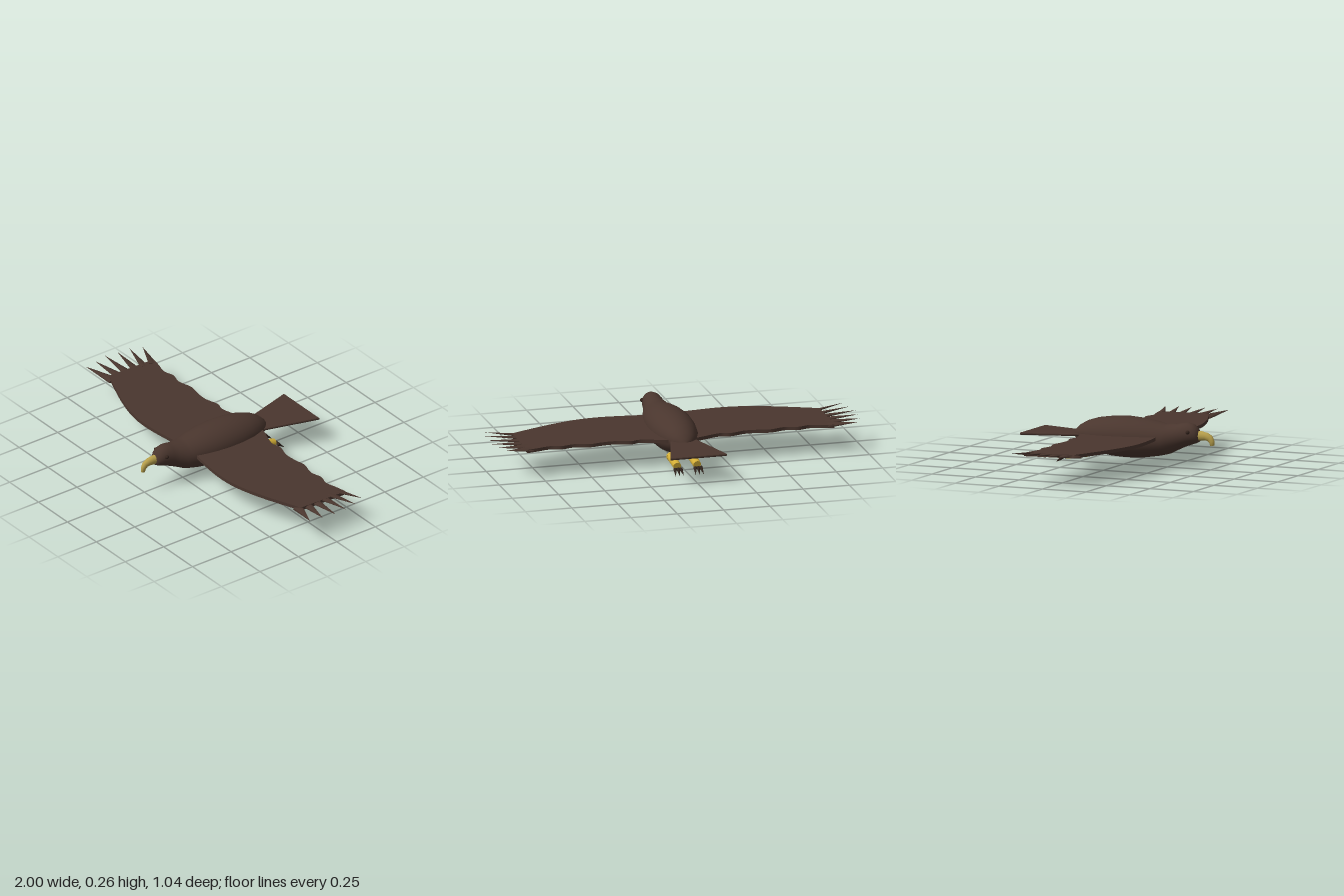
import * as THREE from 'three';

const mat = (name, color, extra = {}) => {
  const m = new THREE.MeshStandardMaterial({ color, ...extra });
  m.name = name;
  return m;
};

// Skin rings [z, y, halfWidth, halfHeight, tilt], listed from front to back
function loft(rings, n = 32) {
  const pos = [], idx = [];
  rings.forEach(([z, y, rx, ry, t = 0], i) => {
    for (let j = 0; j < n; j++) {
      const a = (j / n) * Math.PI * 2, up = Math.sin(a) * ry;
      pos.push(Math.cos(a) * rx, y + up * Math.cos(t), z + up * Math.sin(t));
      if (i === rings.length - 1) continue;
      const p = i * n + j, q = i * n + ((j + 1) % n);
      idx.push(p, p + n, q, q, p + n, q + n);
    }
  });
  const g = new THREE.BufferGeometry();
  g.setAttribute('position', new THREE.Float32BufferAttribute(pos, 3));
  g.setIndex(idx);
  g.computeVertexNormals();
  return g;
}

// Flat plate from [x, z] outlines, lying level with its underside at y = 0
function plate(shape, depth, bevel = 0) {
  return new THREE.ExtrudeGeometry(shape, {
    depth, curveSegments: 10, bevelEnabled: bevel > 0,
    bevelSize: bevel, bevelThickness: bevel, bevelSegments: 3,
  }).rotateX(-Math.PI / 2);
}

export function createModel() {
  const root = new THREE.Group();
  const brown = mat('brown plumage', 0x4a362e);
  const horn = mat('beak horn', 0xb8a04c);
  const yellow = mat('leg yellow', 0xd4af37);
  const dark = mat('dark claw', 0x33261f);
  const eyeMat = mat('eye brown', 0x35251e);

  const add = (name, geo, material, parent = root) => {
    const m = new THREE.Mesh(geo, material);
    m.name = name;
    parent.add(m);
    return m;
  };

  // Cone or tapered rod running between two points
  const rod = (name, from, to, r0, r1, sides, material, parent, flat = 1) => {
    const a = new THREE.Vector3(...from), b = new THREE.Vector3(...to);
    const d = b.clone().sub(a);
    const m = add(name, new THREE.CylinderGeometry(r1, r0, d.length(), sides), material, parent);
    m.position.copy(a).add(b).multiplyScalar(0.5);
    m.quaternion.setFromUnitVectors(new THREE.Vector3(0, 1, 0), d.normalize());
    m.scale.x = flat;
    return m;
  };

  // Body, neck and head: [z, bottom, top, halfWidth]
  const profile = [
    [0.437, 0.172, 0.172, 0], [0.434, 0.145, 0.2, 0.026], [0.42, 0.137, 0.222, 0.038],
    [0.4, 0.13, 0.236, 0.047], [0.37, 0.12, 0.242, 0.053], [0.34, 0.107, 0.238, 0.057],
    [0.31, 0.093, 0.231, 0.065], [0.27, 0.073, 0.23, 0.08], [0.245, 0.066, 0.228, 0.088],
    [0.2, 0.056, 0.238, 0.1], [0.12, 0.044, 0.25, 0.115], [0.03, 0.04, 0.256, 0.122],
    [-0.06, 0.044, 0.252, 0.118], [-0.14, 0.057, 0.24, 0.105], [-0.2, 0.078, 0.221, 0.083],
    [-0.24, 0.102, 0.199, 0.062], [-0.268, 0.128, 0.172, 0.034], [-0.28, 0.15, 0.15, 0],
  ];
  add('body', loft(profile.map(([z, lo, hi, w]) => [z, (lo + hi) / 2, w, (hi - lo) / 2])), brown);

  // Hooked beak
  add('beak', loft([
    [0.509, 0.127, 0, 0, 1.4], [0.509, 0.128, 0.009, 0.011, 1.4], [0.506, 0.148, 0.012, 0.015, 1.15],
    [0.494, 0.166, 0.015, 0.019, 0.75], [0.473, 0.174, 0.018, 0.022, 0.35],
    [0.45, 0.176, 0.02, 0.025, 0.1], [0.42, 0.177, 0.022, 0.026],
  ], 16), horn);

  // Fanned tail with a rounded rim
  const tail = new THREE.Shape([[-0.055, 0.2], [0.055, 0.2], [0.147, 0.518], [-0.147, 0.518]]
    .map(([x, y]) => new THREE.Vector2(x, y)));
  add('tail', plate(tail, 0.002, 0.006), brown).position.y = 0.148;

  const leading = [[0.05, 0.22], [0.19, 0.24], [0.33, 0.25], [0.46, 0.237], [0.62, 0.19], [0.83, 0.105]];
  const trailing = [[0.83, -0.185], [0.77, -0.172], [0.7, -0.155], [0.64, -0.17], [0.57, -0.155], [0.49, -0.174],
    [0.42, -0.163], [0.35, -0.16], [0.27, -0.181], [0.21, -0.17], [0.085, -0.21], [0.05, -0.21]];
  const tips = [[0.95, -0.203], [0.98, -0.14], [0.99, -0.068], [1.0, 0.005], [0.985, 0.08], [0.97, 0.152]];

  for (const s of [1, -1]) {
    const side = s > 0 ? 'left' : 'right';
    const toV = ([x, z]) => new THREE.Vector2(s * x, -z);

    // Wing panel, slightly raised along the leading edge
    const wing = new THREE.Group();
    wing.name = side + 'Wing';
    root.add(wing);
    const shape = new THREE.Shape();
    shape.moveTo(s * leading[0][0], -leading[0][1]);
    shape.splineThru(leading.slice(1).map(toV));
    shape.lineTo(s * trailing[0][0], -trailing[0][1]);
    shape.splineThru(trailing.slice(1).map(toV));
    const geo = plate(shape, 0.018);
    const p = geo.attributes.position;
    for (let i = 0; i < p.count; i++) p.setY(i, p.getY(i) + 0.144 + 0.02 * p.getZ(i));
    geo.computeVertexNormals();
    add('wingPanel', geo, brown, wing);

    // Spread, upswept wingtip feathers
    tips.forEach(([x, z], i) => rod('tipFeather', [s * 0.8, 0.152, -0.16 + i * 0.053],
      [s * x, 0.168, z], 0.027, 0, 8, brown, wing, 0.3));

    // Eye
    const eye = add(side + 'Eye', new THREE.SphereGeometry(0.011, 16, 12), eyeMat);
    eye.position.set(s * 0.048, 0.197, 0.389);

    // Leg trailing backwards, with a cuff and three claws
    const leg = new THREE.Group();
    leg.name = side + 'Leg';
    root.add(leg);
    const x = s * 0.054;
    rod('shank', [x, 0.061, -0.185], [x, 0.039, -0.302], 0.024, 0.021, 20, yellow, leg);
    rod('cuff', [x, 0.061, -0.184], [x, 0.059, -0.194], 0.0255, 0.0255, 20, yellow, leg);
    for (const k of [-1, 0, 1]) {
      rod('claw', [x + k * 0.015, 0.031, -0.317], [x + k * 0.022, 0.001, -0.353], 0.01, 0, 8, dark, leg);
    }
  }
  return root;
}
